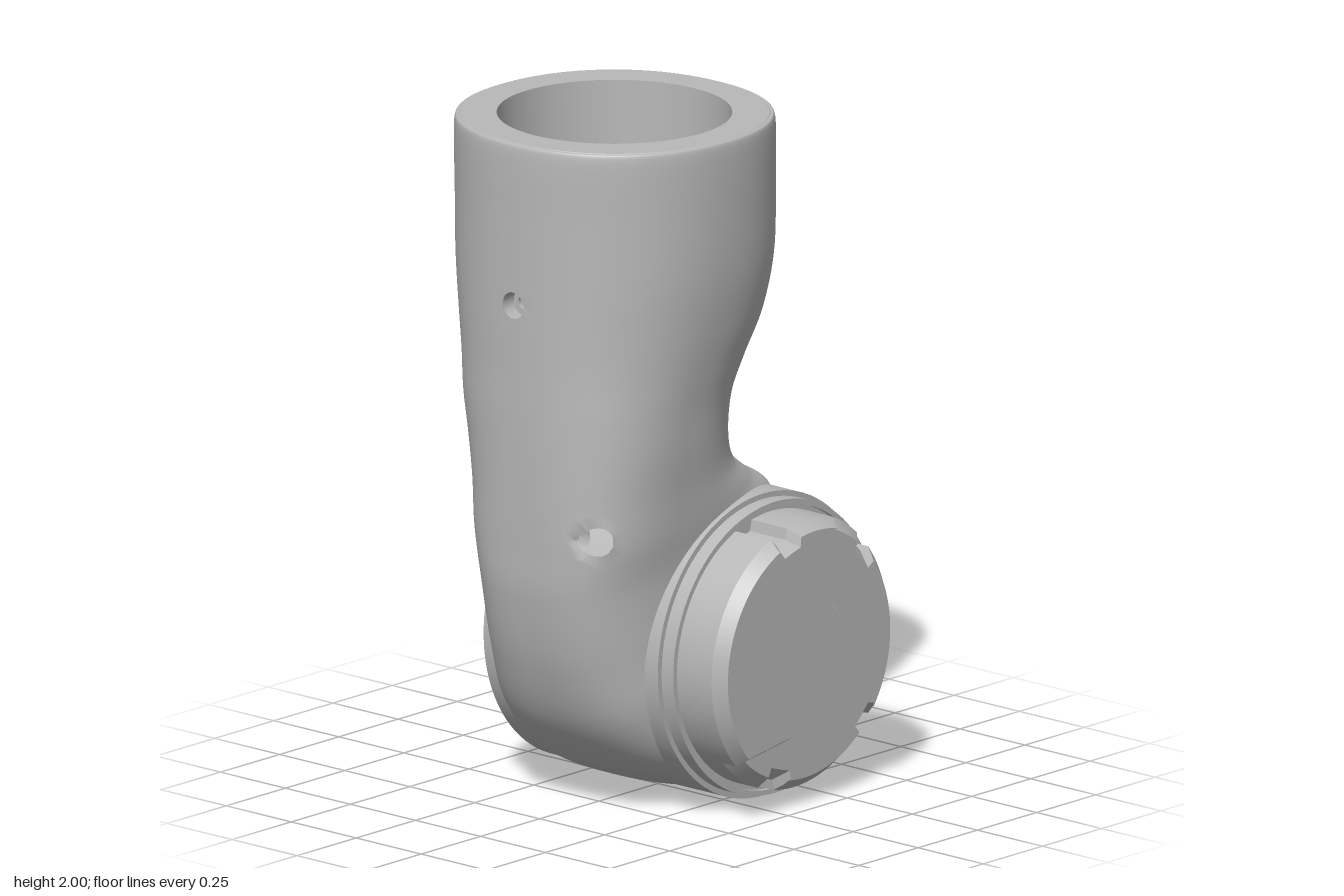
import * as THREE from 'three';
import { toCreasedNormals } from 'three/addons/utils/BufferGeometryUtils.js';

const grey = new THREE.MeshStandardMaterial({ color: 0xb8b8b8, side: THREE.DoubleSide });
grey.name = 'plain grey';
const HUB = [0.11, 0.45];
const TUBE = [-0.115, -0.063];
const V2 = (x, y) => new THREE.Vector2(x, y);
const polar = (r, deg) => V2(r * Math.cos(deg * Math.PI / 180), r * Math.sin(deg * Math.PI / 180));
// Rounded-square version of cosine or sine; n = 2 is a circle
const soften = (c, n) => Math.sign(c) * Math.abs(c) ** (2 / n);

function part(name, geometry, x = 0, y = 0, z = 0) {
  const mesh = new THREE.Mesh(geometry, grey);
  mesh.name = name;
  mesh.position.set(x, y, z);
  return mesh;
}
const lathe = (pts, segments = 96) =>
  toCreasedNormals(new THREE.LatheGeometry(pts.map(p => V2(...p)), segments), 0.5);
const extrude = (shape, depth, bevel = 0, thick = bevel) => toCreasedNormals(
  new THREE.ExtrudeGeometry(shape, {
    depth, curveSegments: 48, bevelEnabled: bevel > 0, bevelSize: bevel,
    bevelThickness: thick, bevelOffset: -bevel, bevelSegments: 1,
  }), 0.5);
const circle = (x, y, r) => new THREE.Path().absarc(x, y, r, 0, Math.PI * 2);

// Pin holes: axis, side, centre (u, height), radii, outer end and depth
const pinHoles = [
  { axis: 'x', side: 1, u: -0.055, v: 1.52, ru: 0.045, rv: 0.045, end: 0.3, depth: 0.08 },
  { axis: 'x', side: -1, u: -0.055, v: 1.52, ru: 0.04, rv: 0.04, end: -0.55, depth: 0.09 },
  { axis: 'z', side: 1, u: -0.48, v: 0.855, ru: 0.028, rv: 0.042, end: 0.15, depth: 0.12 },
  { axis: 'z', side: -1, u: -0.385, v: 0.83, ru: 0.03, rv: 0.08, end: -0.25, depth: 0.12 },
];

// Elbow sections: outer x, y, inner x, y, centre z, half width, squareness
const sections = [
  [-0.545, 2, 0.315, 2, -0.063, 0.43, 2.15],
  [-0.56, 1.975, 0.333, 1.975, -0.063, 0.446, 2.15],
  [-0.558, 1.78, 0.335, 1.78, -0.063, 0.445, 2.15],
  [-0.555, 1.6, 0.328, 1.59, -0.063, 0.437, 2.2],
  [-0.553, 1.45, 0.285, 1.43, -0.06, 0.415, 2.25],
  [-0.551, 1.32, 0.21, 1.31, -0.055, 0.39, 2.3],
  [-0.55, 1.2, 0.15, 1.21, -0.05, 0.37, 2.4],
  [-0.548, 1.08, 0.13, 1.09, -0.04, 0.35, 2.5],
  [-0.545, 0.95, 0.15, 1.0, -0.033, 0.332, 2.7],
  [-0.54, 0.8, 0.22, 0.938, -0.03, 0.322, 3],
  [-0.53, 0.65, 0.33, 0.855, -0.03, 0.312, 3],
  [-0.485, 0.44, 0.2, 0.72, -0.03, 0.31, 2.8],
  [-0.4, 0.25, 0.02, 0.58, -0.03, 0.31, 2.8],
  [-0.25, 0.105, -0.04, 0.42, -0.03, 0.31, 2.8],
  [-0.06, 0.03, 0.04, 0.3, -0.03, 0.31, 2.8],
  [0.11, 0.012, 0.11, 0.25, -0.03, 0.31, 2.8],
];

function elbowGeometry() {
  const rows = 160, cols = 160, pos = [], index = [];
  const curve = f => new THREE.CatmullRomCurve3(
    sections.map(s => new THREE.Vector3(...f(s))), false, 'catmullrom', 0.5);
  const outer = curve(s => [s[0], s[1], 0]);
  const inner = curve(s => [s[2], s[3], 0]);
  const width = curve(s => [s[4], s[5], s[6]]);
  const reach = (h, p) => {
    if ((h.axis === 'x' ? p.x + 0.11 : p.z + 0.04) * h.side < 0) return Infinity;
    const u = h.axis === 'x' ? p.z : p.x;
    return Math.hypot((u - h.u) / h.ru, (p.y - h.v) / h.rv);
  };
  const points = [];
  for (let i = 0; i <= rows; i++) {
    const o = outer.getPoint(i / rows), n = inner.getPoint(i / rows), w = width.getPoint(i / rows);
    for (let j = 0; j < cols; j++) {
      const a = j / cols * Math.PI * 2;
      const p = o.clone().lerp(n, 0.5 + 0.5 * soften(Math.cos(a), w.z));
      p.z = w.x + w.y * soften(Math.sin(a), w.z);
      // Pull nearby corners onto the rim of each pin hole
      for (const h of pinHoles) {
        const d = reach(h, p);
        if (d < 0.55 || d > 1.45) continue;
        const k = h.axis === 'x' ? 'z' : 'x';
        p[k] = h.u + (p[k] - h.u) / d;
        p.y = h.v + (p.y - h.v) / d;
      }
      points.push(p);
      pos.push(p.x, p.y, p.z);
    }
  }
  const triangle = (a, b, c) => {
    const mid = points[a].clone().add(points[b]).add(points[c]).divideScalar(3);
    if (pinHoles.every(h => reach(h, mid) > 0.999)) index.push(a, b, c);
  };
  for (let i = 0; i < rows; i++) for (let j = 0; j < cols; j++) {
    const a = i * cols + j, b = i * cols + (j + 1) % cols;
    triangle(a, b, a + cols);
    triangle(b, b + cols, a + cols);
  }
  const g = new THREE.BufferGeometry();
  g.setAttribute('position', new THREE.Float32BufferAttribute(pos, 3));
  g.setIndex(index);
  g.computeVertexNormals();
  return g;
}

export function createModel() {
  const model = new THREE.Group();
  model.name = 'elbowJoint';
  model.add(part('elbowTube', elbowGeometry()));

  // Stepped walls of the pin holes
  for (const h of pinHoles) {
    const onX = h.axis === 'x';
    const m = part('pinHole', lathe([[1, 0], [1, -0.5], [0.55, -0.5], [0.55, -1], [0, -1]], 24),
      onX ? h.end : h.u, h.v, onX ? h.u : h.end);
    m.scale.set(onX ? h.rv : h.ru, h.depth, onX ? h.ru : h.rv);
    m.quaternion.setFromUnitVectors(new THREE.Vector3(0, 1, 0),
      new THREE.Vector3(onX ? h.side : 0, 0, onX ? 0 : h.side));
    model.add(m);
  }

  // Top rim, bore and its floor with a cross-shaped socket
  const rim = new THREE.Shape();
  for (let d = 0; d < 360; d += 2.25) {
    const p = polar(1, d);
    const x = 0.43 * soften(p.x, 2.15), y = 0.43 * soften(p.y, 2.15);
    if (d === 0) rim.moveTo(x, y); else rim.lineTo(x, y);
  }
  rim.holes.push(circle(0, 0, 0.335));
  model.add(part('topRim', new THREE.ShapeGeometry(rim, 48).rotateX(-Math.PI / 2), TUBE[0], 2, TUBE[1]));
  model.add(part('bore', lathe([[0.335, 2], [0.335, 1.45], [0.19, 1.45], [0.19, 1.43]]),
    TUBE[0], 0, TUBE[1]));
  const floor = new THREE.Shape().absarc(0, 0, 0.19, 0, Math.PI * 2);
  const cross = new THREE.Path();
  for (let k = 0; k < 4; k++) {
    const a = k * Math.PI / 2, c = Math.cos(a), s = Math.sin(a);
    cross.absarc(0.115 * c, 0.115 * s, 0.035, a - Math.PI / 2, a + Math.PI / 2);
    cross.lineTo(0.035 * (c - s), 0.035 * (s + c));
  }
  floor.holes.push(cross);
  model.add(part('crossSocket', extrude(floor, 0.06).rotateX(-Math.PI / 2), TUBE[0], 1.38, TUBE[1]));
  model.add(part('socketFloor', lathe([[0.19, 1.38], [0.036, 1.38], [0.036, 1.36], [0, 1.36]], 48),
    TUBE[0], 0, TUBE[1]));

  // Horizontal drum with front collar and hollow back
  model.add(part('drum', lathe([
    [0, -0.2], [0.115, -0.2], [0.115, -0.31], [0.425, -0.31], [0.425, -0.365], [0.446, -0.365],
    [0.446, 0.305], [0.43, 0.305], [0.43, 0.35], [0.415, 0.35], [0.415, 0.335], [0, 0.335],
  ]).rotateX(Math.PI / 2), ...HUB));

  // Back cover, its thin raised panel and the screw holes
  const drill = (shape, r) => {
    shape.holes.push(circle(0, 0, 0.115));
    for (const [x, y] of [[0.025, 0.35], [0.32, -0.165], [-0.245, -0.05]]) shape.holes.push(circle(x, y, r));
    return shape;
  };
  const cover = new THREE.Shape().absarc(0, 0, 0.425, 0, Math.PI * 2);
  model.add(part('backCover', extrude(drill(cover, 0.026), 0.038), ...HUB, -0.348));
  const panel = new THREE.Shape([[0.05, 0.41], [-0.26, 0.32], [-0.39, 0], [-0.02, -0.32],
    [0.335, -0.24], [0.395, -0.13]].map(p => V2(...p)));
  model.add(part('backPanel', extrude(drill(panel, 0.036), 0.006), ...HUB, -0.354));

  // Front plug with small notches in its bevelled edge
  const rimPoint = d =>
    polar([43, 107, 253, 317].some(n => Math.abs(n - d) < 4) ? 0.37 : 0.4, d);
  const ring = [];
  for (let d = 0; d < 360; d += 2) ring.push(rimPoint(d));
  model.add(part('frontPlug', extrude(new THREE.Shape(ring), 0.11, 0.035, 0.04), ...HUB, 0.31));

  // Raised half of the plug, curving around the hub
  const raised = [];
  for (let d = 74; d <= 222; d += 2) raised.push(rimPoint(d));
  const edge = [[-0.08, -0.235], [-0.055, -0.2], [-0.03, -0.165], [0.03, -0.15], [0.1, -0.11],
    [0.15, -0.05], [0.167, 0.015], [0.15, 0.085], [0.11, 0.13], [0.078, 0.165], [0.072, 0.21]];
  raised.push(...new THREE.SplineCurve(edge.map(p => V2(...p))).getPoints(30));
  model.add(part('raisedKey', extrude(new THREE.Shape(raised), 0.09, 0.025, 0.04), ...HUB, 0.38));

  return model;
}
